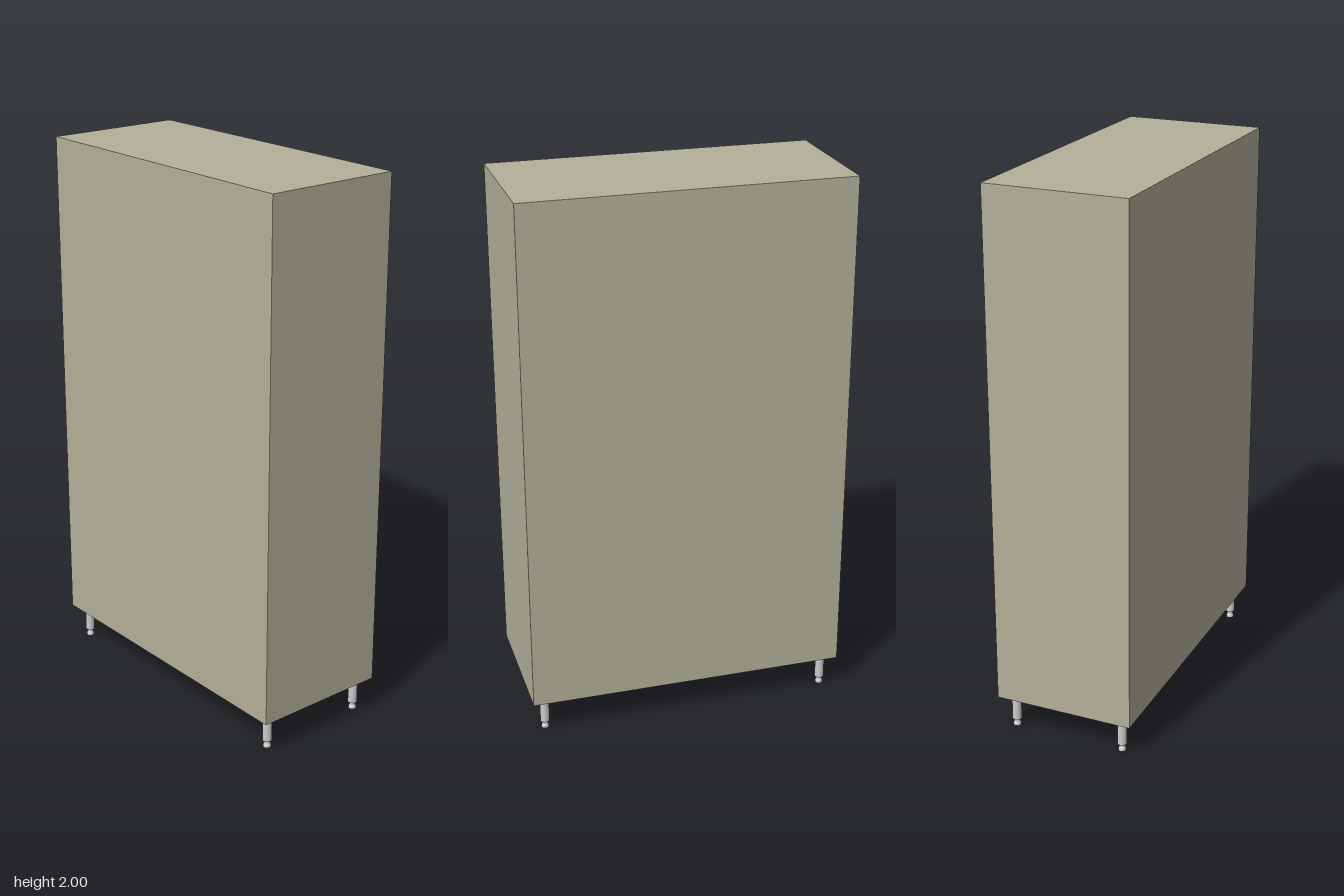
import * as THREE from 'three';

export function createModel() {
  const model = new THREE.Group();
  const beige = new THREE.MeshStandardMaterial({ color: 0xb3b19a });
  const grey = new THREE.MeshStandardMaterial({ color: 0xcccccc });

  // Plain closed cabinet body
  const bottom = 0.127, top = 2;
  const body = new THREE.Mesh(new THREE.BoxGeometry(1.174, top - bottom, 0.514), beige);
  body.name = 'cabinetBody';
  body.position.y = (top + bottom) / 2;
  model.add(body);

  // Round section between two heights
  function section(name, rTop, rBottom, y0, y1) {
    const mesh = new THREE.Mesh(new THREE.CylinderGeometry(rTop, rBottom, y1 - y0, 20), grey);
    mesh.name = name;
    mesh.position.y = (y0 + y1) / 2;
    return mesh;
  }

  // Four legs, each a tube with a screw neck and a levelling foot
  for (const [xName, x] of [['Left', 0.538], ['Right', -0.538]]) {
    for (const [zName, z] of [['front', 0.208], ['back', -0.208]]) {
      const leg = new THREE.Group();
      leg.name = `${zName}${xName}Leg`;
      leg.position.set(x, 0, z);
      leg.add(
        section('legTube', 0.017, 0.017, 0.027, bottom),
        section('footNeck', 0.01, 0.01, 0.016, 0.027),
        section('footCone', 0.01, 0.014, 0.008, 0.016),
        section('footPad', 0.014, 0.014, 0, 0.008),
      );
      model.add(leg);
    }
  }
  return model;
}
